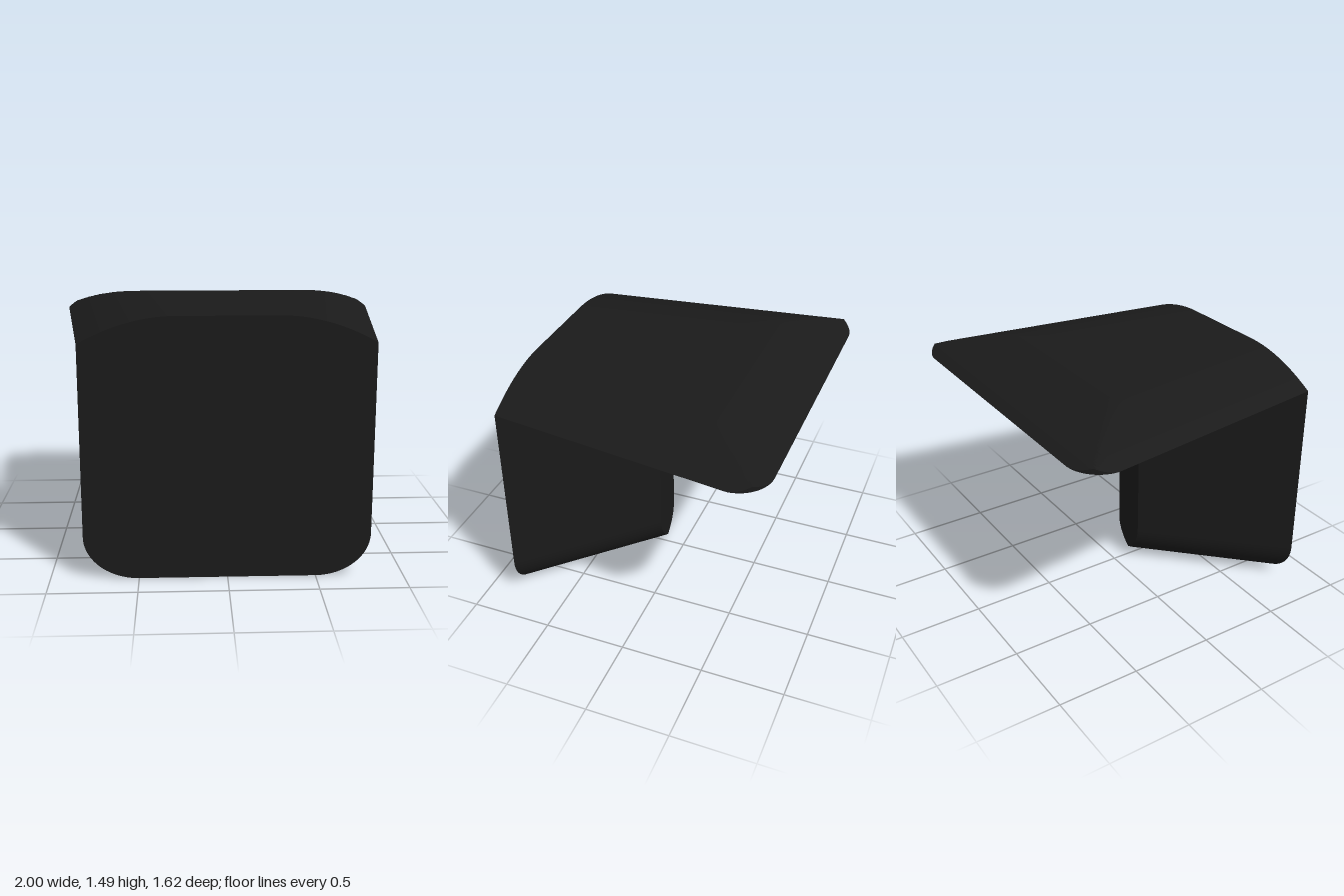
import * as THREE from 'three';
import { toCreasedNormals } from 'three/addons/utils/BufferGeometryUtils.js';

const EAVE = 1.34, RIDGE = 1.49, FRONT = 0.81, BACK = -0.81;

// Closed solid through convex loops of equal length, capped at both ends.
function loft(loops, crease) {
  const n = loops[0].length, index = [];
  loops.slice(1).forEach((_, i) => {
    for (let j = 0; j < n; j++) {
      const k = (j + 1) % n;
      const a = i * n + j, b = i * n + k, c = b + n, d = a + n;
      index.push(a, b, c, a, c, d);
    }
  });
  const last = (loops.length - 1) * n;
  for (let j = 1; j < n - 1; j++) {
    index.push(0, j + 1, j, last, last + j, last + j + 1);
  }
  const g = new THREE.BufferGeometry();
  g.setAttribute('position', new THREE.Float32BufferAttribute(loops.flat(2), 3));
  g.setIndex(index);
  return toCreasedNormals(g, crease);
}

// Wedge-shaped body: wide front, 45 degree sides, narrow flat back, rounded lower side edges.
function bodyGeometry() {
  const rx = 0.31, ry = 0.25, tip = 0.11;
  const insets = [];
  for (let i = 0; i <= 20; i++) {
    const a = (i / 20) * Math.PI / 2;
    insets.push([rx * (1 - Math.sin(a)), ry * (1 - Math.cos(a))]);
  }
  // extra ring where the two side roundings meet the back face
  const s = 1 - tip / rx;
  insets.push([tip, ry * (1 - Math.sqrt(1 - s * s))]);
  insets.sort((p, q) => p[1] - q[1]);
  insets.push([0, EAVE]);
  return loft(insets.map(([d, y]) => {
    const w = FRONT - d, bx = Math.max(tip - d, 0), bz = Math.max(tip, d);
    return [[-w, y, FRONT], [w, y, FRONT], [bx, y, bz], [-bx, y, bz]];
  }), 0.5);
}

// Flaring top slab, crowned along both sides and the back, with rounded back corners.
function topGeometry() {
  const sideWidth = 0.53, backWidth = 0.6, r = 0.2, cx = 0.8, cz = BACK + r;
  const edge = z => FRONT + (FRONT - z) * 0.133;
  const drop = (distance, width) => Math.max(0, 1 - distance / width) ** 2;
  const height = (x, z) => RIDGE - (RIDGE - EAVE) *
    Math.min(1, Math.max(drop(edge(z) - Math.abs(x), sideWidth), drop(z - BACK, backWidth)));

  const rows = [];
  for (let i = 0; i < 20; i++) {
    const a = (i / 20) * Math.PI / 2;
    rows.push([cz - r * Math.cos(a), cx + r * Math.sin(a)]);
  }
  for (let i = 0; i <= 50; i++) {
    const z = cz + (FRONT - cz) * i / 50;
    rows.push([z, Math.min(edge(z), 1)]);
  }
  return loft(rows.map(([z, w]) => {
    const loop = [[-w, EAVE, z], [w, EAVE, z]];
    for (let j = 0; j <= 80; j++) {
      const x = w * (1 - j / 40);
      loop.push([x, height(x, z), z]);
    }
    return loop;
  }), 0.45);
}

export function createModel() {
  const group = new THREE.Group();
  const material = new THREE.MeshStandardMaterial({ color: 0x1a1a1a });
  const add = (name, geometry) => {
    const mesh = new THREE.Mesh(geometry, material);
    mesh.name = name;
    group.add(mesh);
  };
  add('wedgeBody', bodyGeometry());
  add('crownedTop', topGeometry());
  return group;
}
